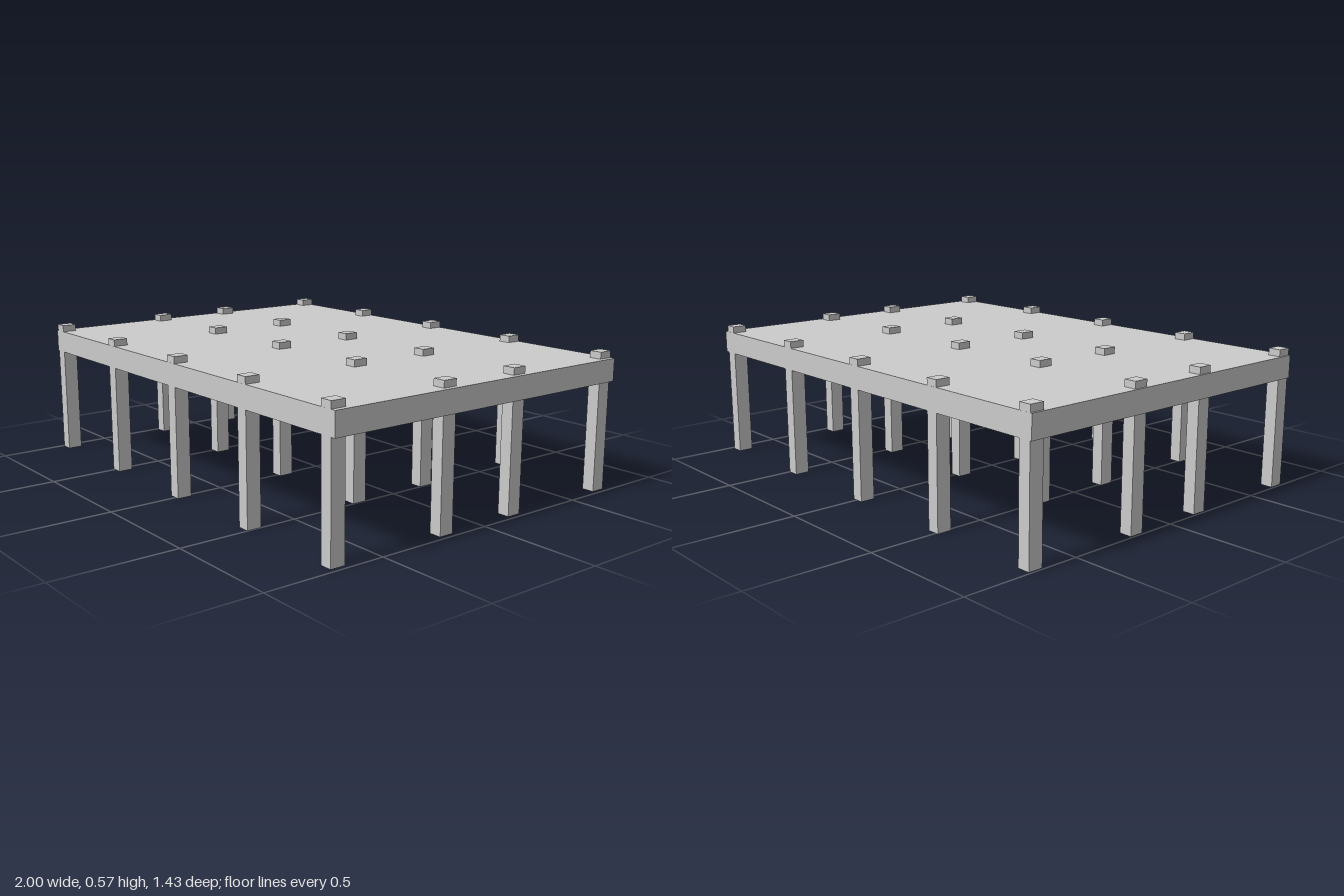
import * as THREE from 'three';

const material = new THREE.MeshStandardMaterial({
  color: 0xcccccc, flatShading: true, side: THREE.DoubleSide,
});

// Thin-walled box without a bottom face, spanning y0 to y1
function openBox(name, width, depth, y0, y1, x = 0, z = 0) {
  const geometry = new THREE.BoxGeometry(width, y1 - y0, depth);
  const index = Array.from(geometry.index.array);
  index.splice(18, 6); // drop the downward face
  geometry.setIndex(index);
  geometry.clearGroups();
  const mesh = new THREE.Mesh(geometry, material);
  mesh.name = name;
  mesh.position.set(x, (y0 + y1) / 2, z);
  return mesh;
}

export function createModel() {
  const model = new THREE.Group();
  model.name = 'columnPlatform';

  // Deck: top sheet with a skirt around the edge, hollow underneath
  model.add(openBox('deck', 2, 1.428, 0.452, 0.545));

  // Columns: five across, four deep, poking through the deck
  const columns = new THREE.Group();
  columns.name = 'columns';
  for (let i = -2; i <= 2; i++) {
    for (const z of [-0.683, -0.179, 0.179, 0.683]) {
      columns.add(openBox('column', 0.052, 0.061, 0, 0.573, i * 0.48 - 0.006, z));
    }
  }
  model.add(columns);

  return model;
}
